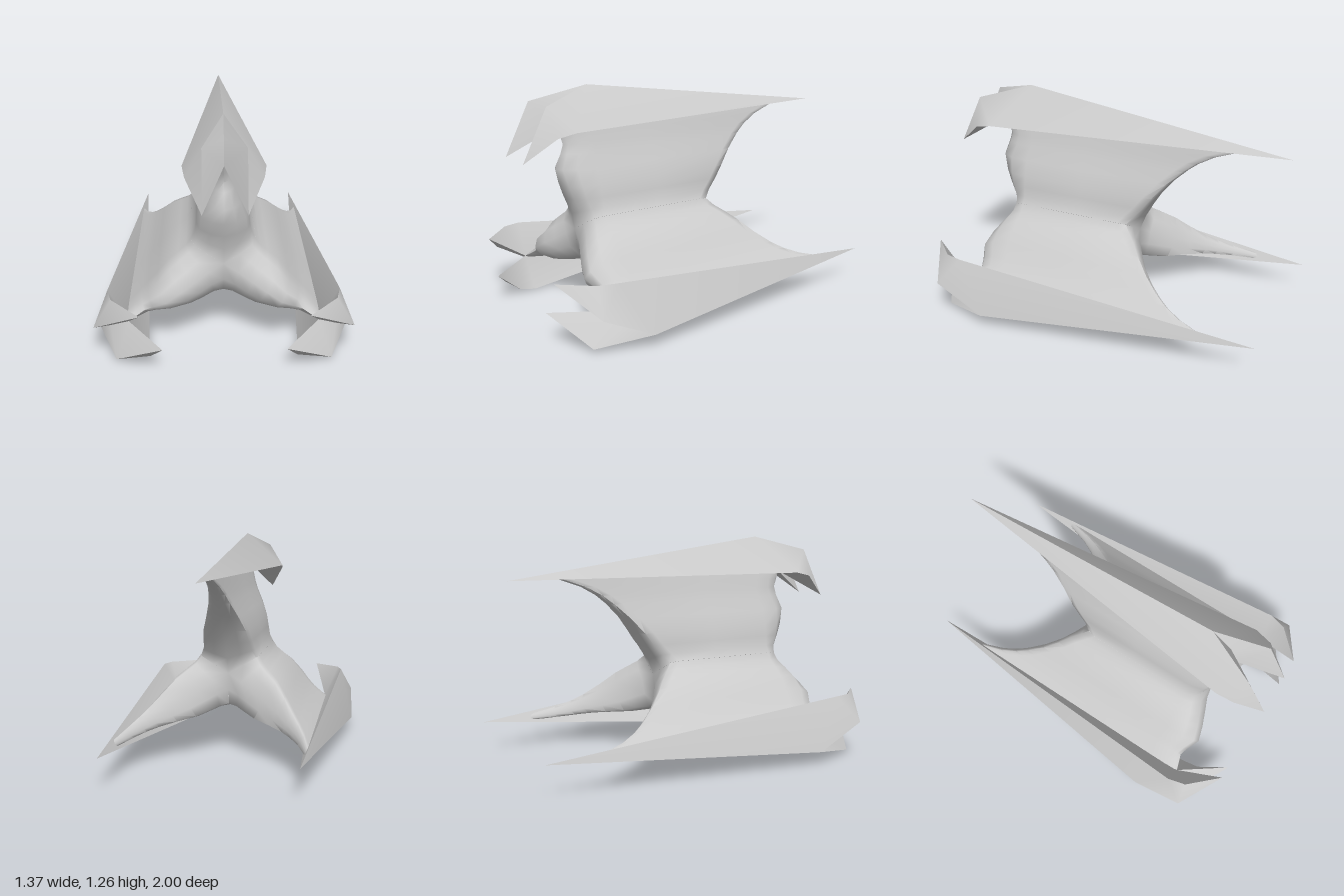
import * as THREE from 'three';
import { mergeGeometries, toCreasedNormals } from 'three/addons/utils/BufferGeometryUtils.js';

const TURN = (2 * Math.PI) / 3;

function meshGeometry(points, index) {
  const g = new THREE.BufferGeometry();
  g.setAttribute('position', new THREE.Float32BufferAttribute(points.flat(), 3));
  g.setIndex(index);
  return g;
}

// One arm, pointing up +y from the hub axis, lofted outwards row by row.
// Row: centre height, side height, half width, front z, rear z, front bevel depth.
function armGeometry() {
  const rows = [
    [0.0, 0.099, 0.171, 0.665, -0.13, 0.1],
    [0.09, 0.14, 0.151, 0.68, -0.165, 0.12],
    [0.18, 0.195, 0.141, 0.715, -0.215, 0.15],
    [0.26, 0.262, 0.13, 0.745, -0.265, 0.18],
    [0.35, 0.35, 0.096, 0.77, -0.34, 0.2],
    [0.43, 0.43, 0.064, 0.735, -0.425, 0.18],
    [0.48, 0.48, 0.048, 0.72, -0.49, 0.17],
    [0.53, 0.53, 0.034, 0.735, -0.58, 0.17],
    [0.58, 0.58, 0.02, 0.75, -0.72, 0.17],
  ];
  const points = [];
  let n = 0;
  for (const [rc, rs, w, zf, zb, bevel] of rows) {
    // Half of the rounded section, front to rear, then mirrored
    const half = [
      [0, zf], [0.5, zf - bevel * 0.12], [0.88, zf - bevel * 0.45], [1, zf - bevel],
      [1, 0.2], [1, zb + 0.07], [0.92, zb + 0.02], [0.5, zb + 0.005], [0, zb],
    ];
    const loop = [...half, ...half.slice(1, -1).reverse().map(([u, z]) => [-u, z])];
    n = loop.length;
    for (const [u, z] of loop) points.push([u * w, rc + (rs - rc) * Math.abs(u), z]);
  }
  const index = [];
  for (let i = 0; i < rows.length - 1; i++) {
    for (let j = 0; j < n; j++) {
      const a = i * n + j, b = i * n + ((j + 1) % n);
      index.push(a, b, b + n, a, b + n, a + n);
    }
  }
  return meshGeometry(points, index);
}

// Long tapering fin with two claw-like prongs at the front
function finGeometry() {
  const points = [
    [0, 0.577, -1],       // 0 rear tip
    [0, 0.79, 0.57],      // 1 ridge peak
    [0, 0.577, 0.75],     // 2 front notch
    [0, 0.695, 0.69],     // 3 valley between the prongs
    [0.208, 0.577, 0.74], // 4 side edge
    [0.11, 0.71, 0.86],   // 5 brow
    [0.11, 0.425, 1],     // 6 prong tip
    [0.194, 0.555, 0.84], // 7 cheek
  ];
  const faces = [
    [0, 1, 4], [1, 5, 4], [5, 7, 4], [5, 6, 7], [1, 3, 5],
    [3, 2, 5], [5, 2, 6], [7, 6, 2], [4, 7, 2], [0, 4, 2],
  ];
  // Mirrored copies of the side points
  for (let i = 4; i < 8; i++) points.push([-points[i][0], points[i][1], points[i][2]]);
  const flip = (i) => (i > 3 ? i + 4 : i);
  const index = faces.flatMap(([a, b, c]) => [a, b, c, flip(a), flip(c), flip(b)]);
  return meshGeometry(points, index);
}

export function createModel() {
  const model = new THREE.Group();
  model.name = 'threeWingedShip';
  const material = new THREE.MeshStandardMaterial({ color: 0xcccccc, side: THREE.DoubleSide });
  const addPart = (name, geometry) => {
    const mesh = new THREE.Mesh(geometry, material);
    mesh.name = name;
    mesh.position.y = 0.473;
    model.add(mesh);
    return mesh;
  };

  // Hub with three arms, joined so the shading flows across the valleys
  const arms = [0, 1, 2].map((k) => armGeometry().rotateZ(k * TURN));
  addPart('hubAndArms', toCreasedNormals(mergeGeometries(arms), 1.3));

  // A fin at the end of each arm
  const fin = toCreasedNormals(finGeometry(), 1.6);
  ['topFin', 'rightFin', 'leftFin'].forEach((name, k) => {
    addPart(name, fin).rotation.z = k * TURN;
  });
  return model;
}
